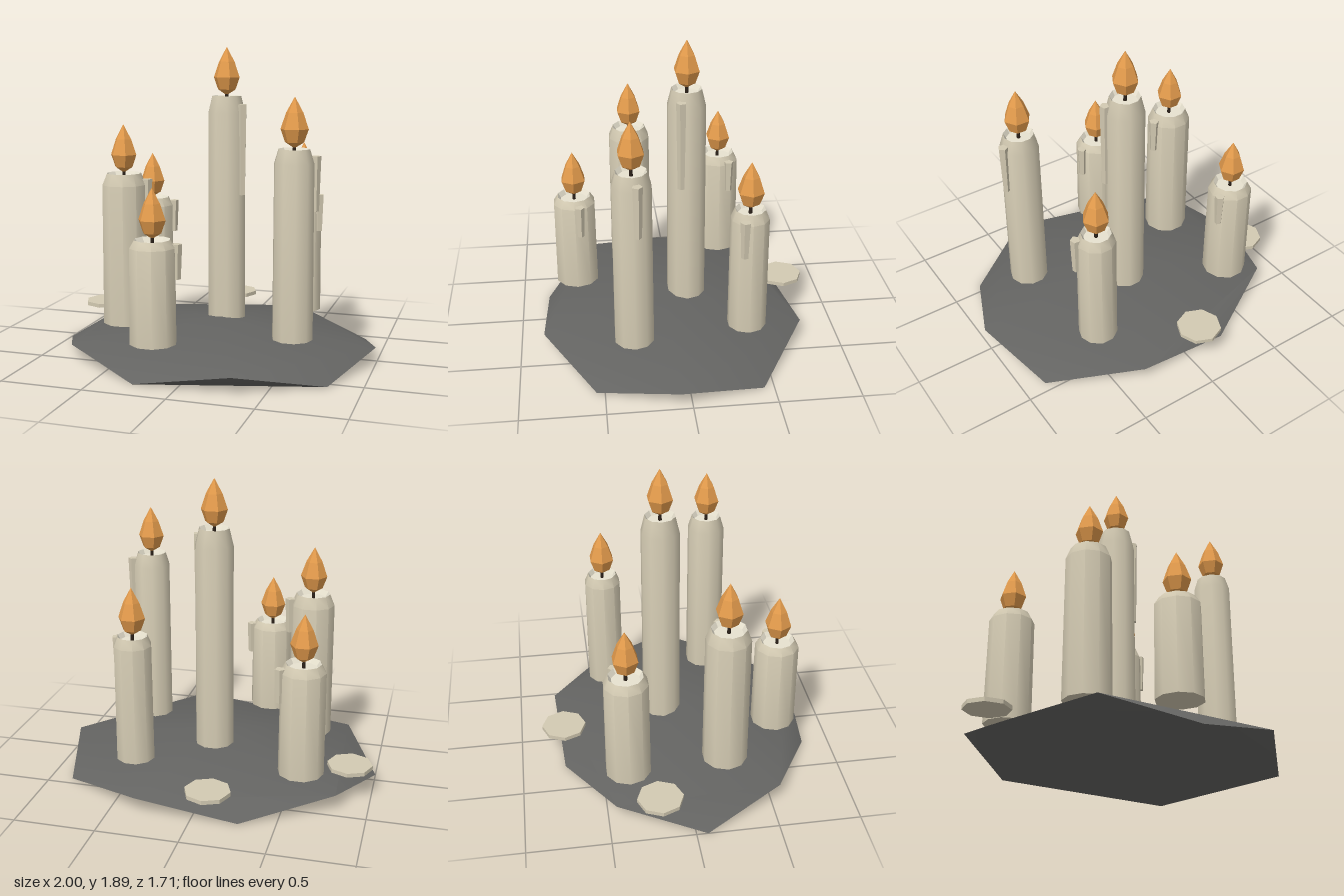
import * as THREE from 'three';
import { toCreasedNormals } from 'three/addons/utils/BufferGeometryUtils.js';

const mat = (name, color, flatShading = false) => {
  const m = new THREE.MeshStandardMaterial({ color, flatShading });
  m.name = name;
  return m;
};

function add(parent, name, geometry, material, x = 0, y = 0, z = 0) {
  const mesh = new THREE.Mesh(geometry, material);
  mesh.name = name;
  mesh.position.set(x, y, z);
  parent.add(mesh);
  return mesh;
}

// Profile revolved with its corners on the x axis
function lathe(points, sides) {
  const profile = points.map(([r, y]) => new THREE.Vector2(r, y));
  return new THREE.LatheGeometry(profile, sides, Math.PI / 2);
}

// Low rock: a rim zigzagging between upper and lower corners, under a shallow peak
function rockGeometry() {
  const rim = [
    [1, 0.07], [0.8, 0.55], [0.325, 0.855], [-0.265, 0.83], [-0.765, 0.555],
    [-1, 0.07], [-0.81, -0.45], [-0.28, -0.73], [0.34, -0.765], [0.86, -0.44],
  ];
  const positions = rim.flatMap(([x, z], i) => [x, i % 2 ? 0 : 0.105, z]);
  positions.push(0.02, 0.215, 0.075, 0, 0, 0.03);
  const peak = 10, floor = 11, index = [];
  for (let i = 0; i < 10; i += 2) {
    const low = i + 1, next = (i + 2) % 10, nextLow = (i + 3) % 10;
    index.push(peak, next, i, i, next, low);
    index.push(low, next, nextLow, floor, low, nextLow);
  }
  const g = new THREE.BufferGeometry();
  g.setAttribute('position', new THREE.Float32BufferAttribute(positions, 3));
  g.setIndex(index);
  return toCreasedNormals(g, 0.7);
}

export function createModel() {
  const wax = mat('wax', 0xd3cab2);
  const meltedWax = mat('meltedWax', 0xf2ecd9);
  const flameColor = mat('flame', 0xe39b4c, true);
  const wickColor = mat('wick', 0x2b2119);
  const stone = mat('stone', 0x646462);

  const model = new THREE.Group();
  model.name = 'candleCluster';
  add(model, 'rockBase', rockGeometry(), stone);

  const ground = 0.19;
  const flameShape = lathe(
    [[0, 0], [0.056, 0.035], [0.083, 0.11], [0.05, 0.205], [0, 0.295]], 6);

  // x, z, radius, top, then the drip: x, z, bottom, top
  const candles = [
    [0.023, -0.068, 0.123, 1.59, 0.135, -0.025, 0.98, 1.54],
    [0.54, 0.305, 0.122, 1.31, 0.66, 0.28, 0.95, 1.27],
    [-0.538, 0.25, 0.14, 1.125, -0.398, 0.22, 0.87, 1.09],
    [-0.21, 0.63, 0.14, 0.8, -0.074, 0.597, 0.57, 0.775],
    [0.445, -0.397, 0.12, 0.985, 0.558, -0.352, 0.72, 0.955],
    [-0.583, -0.355, 0.14, 0.89, -0.455, -0.415, 0.655, 0.865],
  ];
  for (const [x, z, r, top, dx, dz, dripBottom, dripTop] of candles) {
    const candle = new THREE.Group();
    candle.name = 'candle';
    candle.position.set(x, ground, z);
    model.add(candle);
    const h = top - ground, dish = h - 0.03;

    // Body with a sloped shoulder, then the lip and sunken pool
    const body = lathe([[0, 0], [r, 0], [0.97 * r, 0.925 * h], [0.76 * r, h]], 10);
    add(candle, 'body', toCreasedNormals(body, 0.7), wax);
    const pool = lathe([[0.76 * r, h], [0.62 * r, dish], [0, dish]], 10);
    add(candle, 'meltedPool', toCreasedNormals(pool, 0.4), meltedWax);

    const wick = new THREE.CylinderGeometry(0.009, 0.011, 0.06, 6);
    add(candle, 'wick', wick, wickColor, 0, dish + 0.03, 0);
    add(candle, 'flame', flameShape, flameColor, 0, h + 0.003, 0);

    // Drip running down the side, thinner at its end
    const length = dripTop - dripBottom;
    const drip = toCreasedNormals(new THREE.CylinderGeometry(0.032, 0.023, length, 5), 0.5);
    const d = add(candle, 'drip', drip, wax, dx - x, dripBottom + length / 2 - ground, dz - z);
    d.rotation.y = Math.atan2(dx - x, dz - z);
  }

  // Flat wax puddles by the rim
  const puddle = toCreasedNormals(new THREE.CylinderGeometry(0.139, 0.139, 0.025, 8), 0.5);
  for (const [x, z] of [[-0.861, -0.195], [-0.098, -0.72]]) {
    add(model, 'waxPuddle', puddle, wax, x, 0.184, z);
  }
  return model;
}
